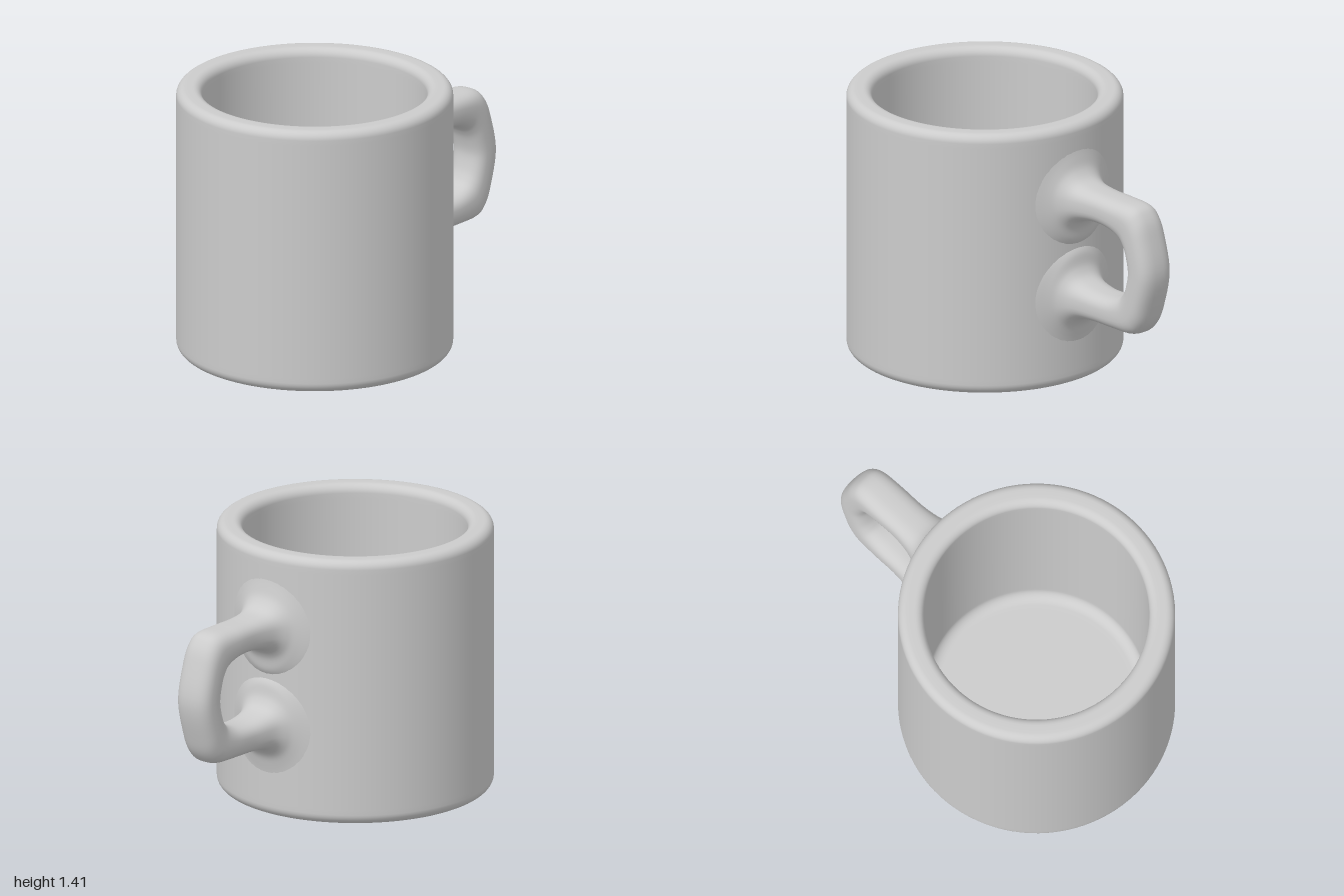
import * as THREE from 'three';

const CX = -0.305, R = 0.695; // body axis and outer radius
const MID = 0.76;             // mirror height of the handle

const material = new THREE.MeshStandardMaterial({ color: 0xcccccc });

// Quarter-round corner points from angle a0 to a1 (degrees)
function arc(cx, cy, rx, ry, a0, a1, n = 7) {
  return Array.from({ length: n + 1 }, (_, i) => {
    const a = THREE.MathUtils.degToRad(a0 + (a1 - a0) * i / n);
    return new THREE.Vector2(cx + rx * Math.cos(a), cy + ry * Math.sin(a));
  });
}

// Thick-walled vessel, turned from one continuous profile
function makeBody() {
  const v = (x, y) => new THREE.Vector2(x, y);
  const profile = [
    v(0, 0), v(0.38, 0.001), v(0.5, 0.006), v(0.6, 0.014),
    ...arc(0.635, 0.075, 0.06, 0.055, -80, 0),
    v(R, 0.1), v(R, 1.34),
    ...arc(0.65, 1.367, 0.045, 0.045, 0, 90),
    v(0.63, 1.412),
    ...arc(0.61, 1.367, 0.045, 0.045, 90, 180),
    v(0.565, 1.34), v(0.56, 0.21),
    ...arc(0.5, 0.19, 0.06, 0.06, 0, -90),
    v(0.47, 0.13), v(0, 0.13),
  ];
  const mesh = new THREE.Mesh(new THREE.LatheGeometry(profile, 96), material);
  mesh.name = 'body';
  mesh.position.x = CX;
  return mesh;
}

// Handle: rounded sections swept between an outer and an inner outline,
// flaring where it blends into the wall
function makeHandle() {
  // outer x, outer y, inner x, inner y, half width, wall wrap
  const half = [
    [0.378, 1.33, 0.385, 0.765, 0.28, 1],
    [0.396, 1.24, 0.404, 0.80, 0.20, 0.9],
    [0.42, 1.17, 0.422, 0.87, 0.155, 0.6],
    [0.475, 1.122, 0.47, 0.92, 0.122, 0.2],
    [0.58, 1.107, 0.58, 0.945, 0.105, 0],
    [0.72, 1.105, 0.69, 0.94, 0.105, 0],
    [0.85, 1.10, 0.765, 0.91, 0.105, 0],
    [0.91, 1.06, 0.80, 0.87, 0.105, 0],
    [0.955, 0.965, 0.82, 0.82, 0.105, 0],
  ];
  const mirrored = half.map(([ox, oy, ix, iy, w, k]) =>
    [ox, 2 * MID - oy, ix, 2 * MID - iy, w, k]).reverse();
  const stations = [...half, [1.0, MID, 0.83, MID, 0.105, 0], ...mirrored];

  const curve = pick => new THREE.CatmullRomCurve3(
    stations.map(s => new THREE.Vector3(...pick(s))), false, 'catmullrom', 0.5);
  const outer = curve(s => [s[0], s[1], 0]);
  const inner = curve(s => [s[2], s[3], 0]);
  const size = curve(s => [s[4], s[5], 0]);

  const STEPS = 108, SIDES = 40, pos = [], index = [];
  for (let i = 0; i <= STEPS; i++) {
    const t = i / STEPS;
    const o = outer.getPoint(t), n = inner.getPoint(t), s = size.getPoint(t);
    const wrap = THREE.MathUtils.clamp(s.y, 0, 1);
    const power = 2 / (2.7 - 0.7 * wrap); // squarer along the grip
    for (let j = 0; j < SIDES; j++) {
      const a = j / SIDES * Math.PI * 2, c = Math.cos(a), d = Math.sin(a);
      const u = Math.sign(c) * Math.abs(c) ** power;
      const z = Math.sign(d) * Math.abs(d) ** power * s.x;
      const sag = (Math.sqrt(R * R - z * z) - R) * wrap;
      pos.push(
        (o.x + n.x) / 2 + u * (o.x - n.x) / 2 + sag,
        (o.y + n.y) / 2 + u * (o.y - n.y) / 2,
        z);
      if (i < STEPS) {
        const k = (j + 1) % SIDES, p = i * SIDES, q = p + SIDES;
        index.push(p + j, p + k, q + j, p + k, q + k, q + j);
      }
    }
  }
  const geometry = new THREE.BufferGeometry();
  geometry.setAttribute('position', new THREE.Float32BufferAttribute(pos, 3));
  geometry.setIndex(index);
  geometry.computeVertexNormals();
  const mesh = new THREE.Mesh(geometry, material);
  mesh.name = 'handle';
  return mesh;
}

export function createModel() {
  const group = new THREE.Group();
  group.name = 'mug';
  group.add(makeBody(), makeHandle());
  return group;
}
